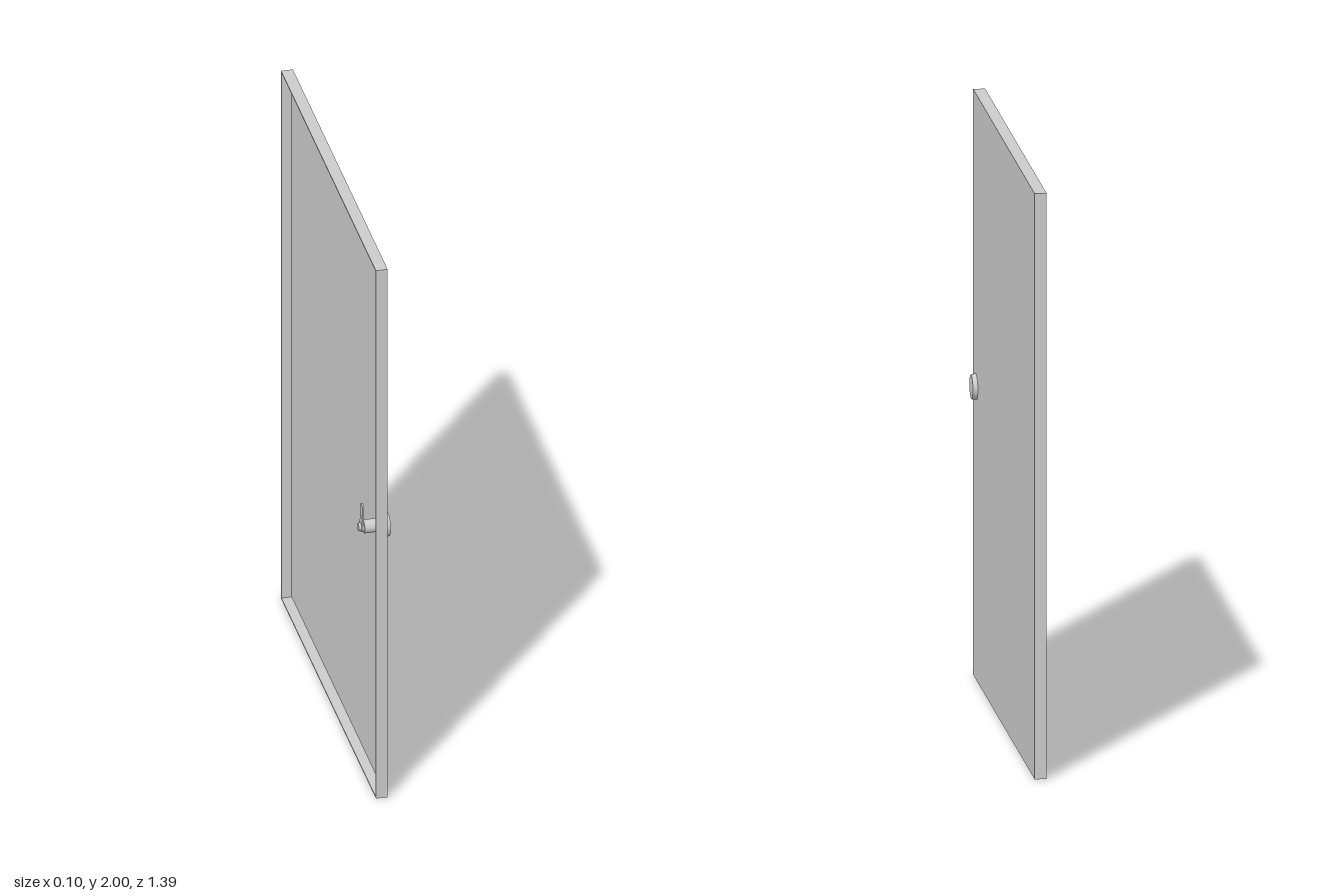
import * as THREE from 'three';

export function createModel() {
  const model = new THREE.Group();
  const mat = new THREE.MeshStandardMaterial({ color: 0xcccccc });
  const add = (name, geo, x, y, z, parent = model) => {
    const m = new THREE.Mesh(geo, mat);
    m.name = name;
    m.position.set(x, y, z);
    parent.add(m);
    return m;
  };

  // Sheet-metal door: outer skin with a folded rim, open towards -x
  const H = 2, W = 1.386, t = 0.005, x0 = -0.006, x1 = 0.034;
  const rimDepth = x1 - x0 - t, rimX = x0 + rimDepth / 2;
  add('doorSkin', new THREE.BoxGeometry(t, H, W), x1 - t / 2, H / 2, 0);
  for (const s of [-1, 1]) {
    add(s > 0 ? 'topRim' : 'bottomRim', new THREE.BoxGeometry(rimDepth, t, W),
      rimX, H / 2 + s * (H - t) / 2, 0);
    add(s > 0 ? 'frontRim' : 'backRim', new THREE.BoxGeometry(rimDepth, H - 2 * t, t),
      rimX, H / 2, s * (W - t) / 2);
  }

  // Lock, its axis along x
  const lock = new THREE.Group();
  lock.name = 'lock';
  lock.position.set(0, 1, 0.63);
  model.add(lock);
  const disc = (name, rOuter, rInner, from, to) => {
    const g = new THREE.CylinderGeometry(rInner, rOuter, to - from, 40);
    g.rotateZ(-Math.PI / 2); // upper end of the cylinder points to +x
    add(name, g, (from + to) / 2, 0, 0, lock);
  };
  disc('lockFace', 0.044, 0.041, x1, 0.05);
  disc('lockBarrel', 0.023, 0.023, -0.034, x1 - t);
  disc('camSpindle', 0.017, 0.017, -0.043, -0.034);
  disc('camScrew', 0.014, 0.014, -0.052, -0.043);

  // Flat cam lever rising from the spindle, rounded at both ends
  const r = 0.018, tip = 0.013, top = 0.082;
  const shape = new THREE.Shape();
  shape.absarc(0, 0, r, Math.PI, 2 * Math.PI, false);
  shape.lineTo(tip, top);
  shape.absarc(0, top, tip, 0, Math.PI, false);
  shape.closePath();
  const leverGeo = new THREE.ExtrudeGeometry(shape, { depth: 0.006, bevelEnabled: false, curveSegments: 12 });
  leverGeo.translate(0, 0, -0.003);
  leverGeo.rotateY(-Math.PI / 2);
  const lever = add('camLever', leverGeo, -0.04, 0, 0, lock);
  lever.rotation.x = 0.14;

  return model;
}
